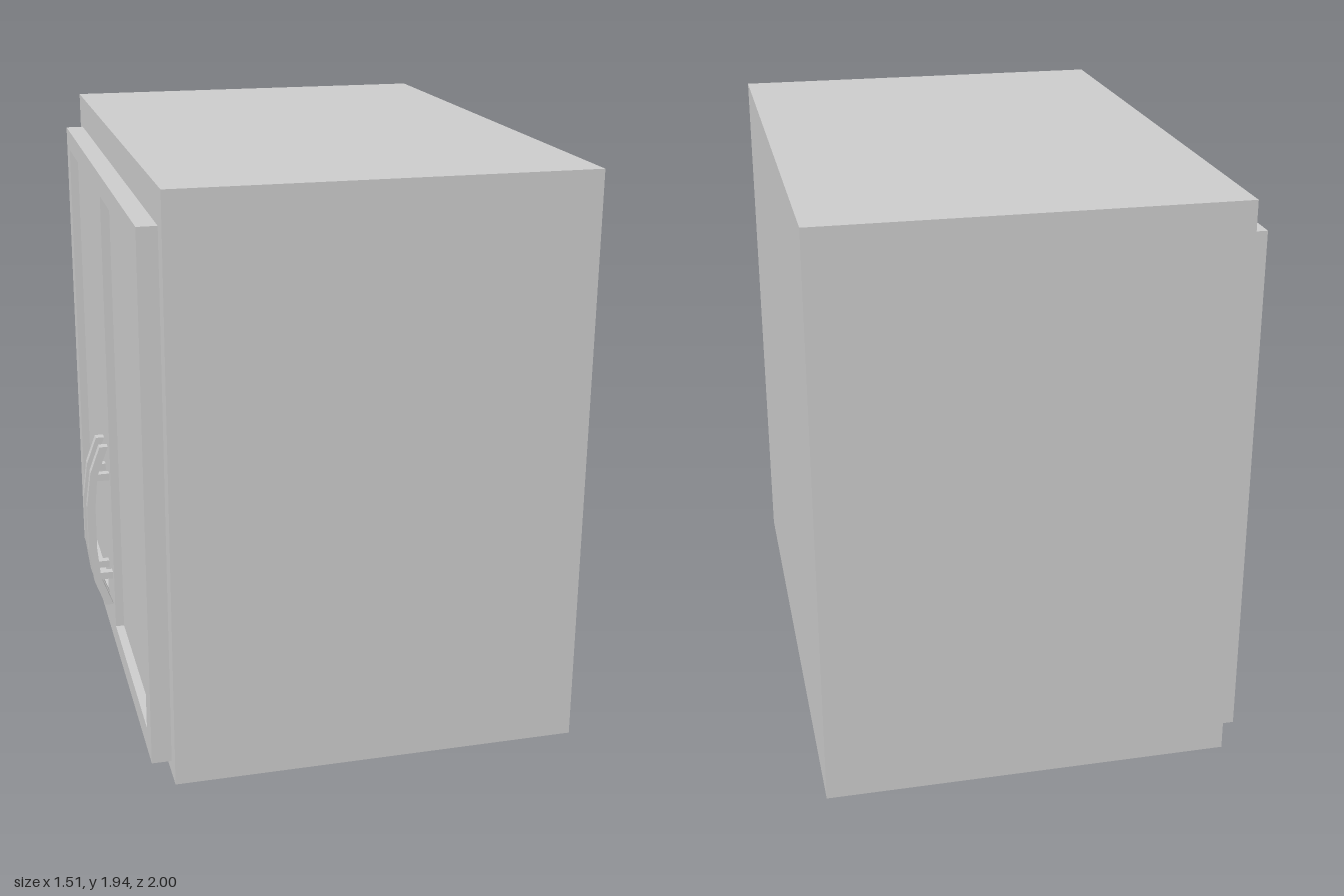
import * as THREE from 'three';

const material = new THREE.MeshStandardMaterial({ color: 0xcccccc, flatShading: true });

function addMesh(parent, name, geometry) {
  const mesh = new THREE.Mesh(geometry, material);
  mesh.name = name;
  parent.add(mesh);
  return mesh;
}

// Box given by its lower and upper corners
function addBox(parent, name, [x0, y0, z0], [x1, y1, z1]) {
  const mesh = addMesh(parent, name, new THREE.BoxGeometry(x1 - x0, y1 - y0, z1 - z0));
  mesh.position.set((x0 + x1) / 2, (y0 + y1) / 2, (z0 + z1) / 2);
  return mesh;
}

const polygon = (points) => points.map(([x, y]) => new THREE.Vector2(x, y));
const rectangle = (x0, y0, x1, y1) => polygon([[x0, y0], [x1, y0], [x1, y1], [x0, y1]]);

export function createModel() {
  const cabinet = new THREE.Group();
  cabinet.name = 'cabinet';

  // Carcass
  addBox(cabinet, 'carcass', [-0.605, 0, -1], [0.755, 1.94, 1]);

  // Double door on the -x side: recessed panels behind a raised frame
  const doors = new THREE.Group();
  doors.name = 'doors';
  cabinet.add(doors);
  addBox(doors, 'doorPanels', [-0.64, 0.045, -0.93], [-0.605, 1.82, 0.93]);

  const frame = new THREE.Shape(rectangle(-0.93, 0.045, 0.93, 1.82));
  for (const [z0, z1] of [[-0.84, -0.095], [0.095, 0.84]]) {
    frame.holes.push(new THREE.Path(rectangle(z0, 0.125, z1, 1.745)));
  }
  const frameGeometry = new THREE.ExtrudeGeometry(frame, { depth: 0.03, bevelEnabled: false });
  frameGeometry.rotateY(-Math.PI / 2);
  addMesh(doors, 'doorFrame', frameGeometry).position.x = -0.64;

  // Bowed handles, profile mirrored about the handle's middle height
  const middle = 0.515;
  const outer = [[-0.702, 0.312], [-0.738, 0.215], [-0.755, 0.085]];
  const inner = [[-0.725, 0.08], [-0.714, 0.2], [-0.672, 0.312]];
  const upper = [...outer, ...inner];
  const flip = ([x, y]) => [x, -y];
  const bow = new THREE.Shape(polygon([
    ...upper.slice(0, 3),
    ...outer.map(flip).reverse(),
    ...inner.map(flip).reverse(),
    ...inner,
  ]));
  for (const [name, z] of [['handleBack', -0.052], ['handleFront', 0.05]]) {
    const handle = new THREE.Group();
    handle.name = name;
    handle.position.set(0, middle, z);
    cabinet.add(handle);
    const grip = new THREE.ExtrudeGeometry(bow, { depth: 0.032, bevelEnabled: false });
    grip.translate(0, 0, -0.016);
    addMesh(handle, 'handleGrip', grip);
    // Posts joining the grip to the door
    for (const y of [-0.195, 0.195]) {
      addBox(handle, 'handlePost', [-0.72, y - 0.013, -0.014], [-0.67, y + 0.013, 0.014]);
    }
  }

  return cabinet;
}
